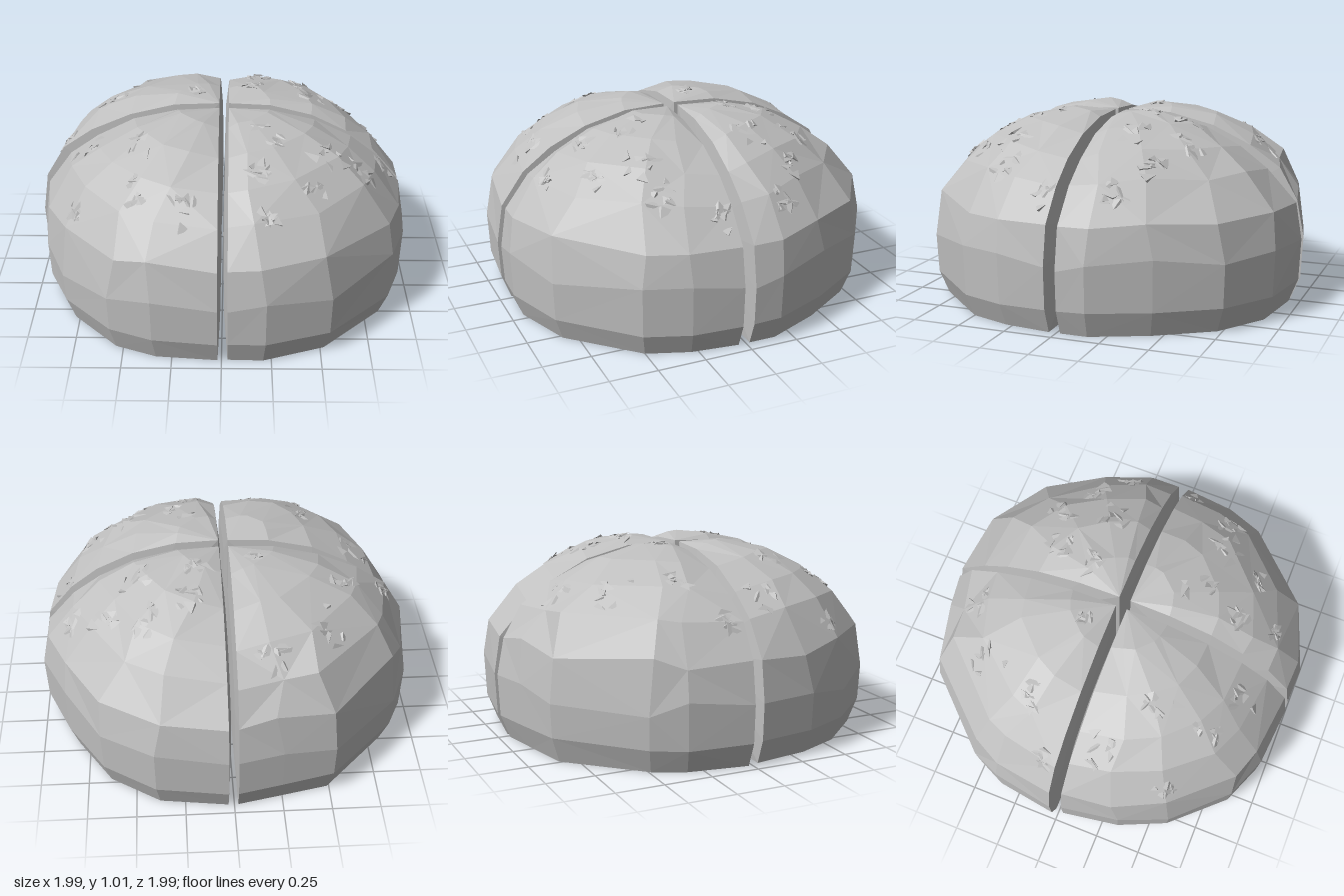
import * as THREE from 'three';
import { mergeGeometries } from 'three/addons/utils/BufferGeometryUtils.js';

// Plan outline [x, z] of each quarter; the first and last points lie on the two cuts.
const quarters = [
  { name: 'frontLeftQuarter', shoulder: 0.96,
    plan: [[0.99, 0.04], [0.96, 0.3], [0.88, 0.53], [0.55, 0.87], [0.22, 0.99], [0.03, 0.985]] },
  { name: 'frontRightQuarter', shoulder: 0.97,
    plan: [[-0.02, 0.99], [-0.35, 0.96], [-0.57, 0.87], [-0.82, 0.6], [-0.93, 0.35], [-0.98, 0.04]] },
  { name: 'backRightQuarter', shoulder: 1.0,
    plan: [[-1, -0.02], [-0.95, -0.35], [-0.87, -0.52], [-0.52, -0.89], [-0.25, -0.95], [-0.02, -1]] },
  { name: 'backLeftQuarter', shoulder: 0.94,
    plan: [[0.03, -1], [0.4, -0.95], [0.67, -0.77], [0.86, -0.47], [0.99, -0.17], [0.99, -0.02]] },
];

// Crust profile: [radius factor, height, drop of the height towards the cuts, height variation]
const profile = [
  [0.94, 0.005, 0, 0], [0.99, 0.13, 0, 0.02], [1, 0.34, 0, 0.12], [0.965, 0.56, 0.02, 0.07],
  [0.86, 0.745, 0.035, 0.03], [0.7, 0.865, 0.045, 0.02], [0.49, 0.96, 0.045, 0.015], [0.24, 1.005, 0.035, 0.01],
];
const topY = 0.98;

// Centres [x, z, spread] of the clusters of flaked crust
const flakeClusters = [
  [-0.5, -0.54, 0.1], [-0.2, -0.7, 0.09], [-0.6, -0.25, 0.07], [-0.85, -0.1, 0.05], [-0.15, -0.14, 0.03],
  [0.4, -0.5, 0.09], [0.45, -0.25, 0.1], [0.15, -0.24, 0.06], [0.2, -0.42, 0.07], [0.8, -0.27, 0.07], [0.63, -0.38, 0.07],
  [-0.7, 0.15, 0.09], [-0.42, 0.38, 0.1], [-0.75, 0.53, 0.05], [-0.43, 0.65, 0.08], [-0.2, 0.75, 0.07],
  [0.23, 0.35, 0.09], [0.19, 0.58, 0.05], [0.24, 0.8, 0.06], [0.46, 0.6, 0.06], [0.52, 0.4, 0.1], [0.72, 0.35, 0.08], [0.86, 0.1, 0.05],
];

function seeded(seed) {
  return () => {
    seed = (seed * 16807) % 2147483647;
    return seed / 2147483647;
  };
}

// One closed wedge of the loaf: crust, base and two bulging cut faces
function quarterGeometry({ plan, shoulder }, rand) {
  const n = plan.length - 1;
  const onX = Math.abs(plan[0][0]) > Math.abs(plan[0][1]); // first cut runs along x
  const corner = onX ? [plan[n][0], plan[0][1]] : [plan[0][0], plan[n][1]];
  const wobble = (amount) => (rand() - 0.5) * amount;

  const rings = profile.map(([r, y, drop, vary], j) => plan.map(([x, z], i) => {
    const fromCut = Math.min(i, n - i);
    let k = r;
    if (j > 3) k *= shoulder;
    if (j > 2) k += wobble(0.012);
    const h = y - drop * [1, 0.3, 0][fromCut] + wobble(fromCut ? vary : vary * 0.3);
    const p = new THREE.Vector3(corner[0] + (x - corner[0]) * k, h, corner[1] + (z - corner[1]) * k);
    // Slide inner points along the crust so the facets become irregular
    if (fromCut && j > 2) {
      const slide = wobble(0.1) * r;
      p.x -= slide * z;
      p.z += slide * x;
    }
    return p;
  }));
  const apex = new THREE.Vector3(corner[0], topY, corner[1]);
  const foot = new THREE.Vector3(corner[0], 0.01, corner[1]);

  const pos = [];
  const tri = (...corners) => corners.forEach((v) => pos.push(v.x, v.y, v.z));

  // Crust, with alternating diagonals
  for (let j = 0; j < rings.length - 1; j++) {
    for (let i = 0; i < n; i++) {
      const a = rings[j][i], b = rings[j][i + 1], c = rings[j + 1][i], d = rings[j + 1][i + 1];
      if ((i + j) % 2) { tri(a, c, b); tri(b, c, d); }
      else { tri(a, c, d); tri(a, d, b); }
    }
  }
  // Crown and base
  const last = rings[rings.length - 1];
  for (let i = 0; i < n; i++) {
    tri(last[i], apex, last[i + 1]);
    tri(foot, rings[0][i], rings[0][i + 1]);
  }
  // Cut faces: an inset loop that nearly closes the gap, fanned around a middle point
  [0, n].forEach((i) => {
    const rim = [foot, ...rings.map((ring) => ring[i]), apex];
    const axis = Math.abs(plan[i][0]) > Math.abs(plan[i][1]) ? 'z' : 'x';
    const middle = new THREE.Vector3(plan[i][0] * 0.5, 0.48, plan[i][1] * 0.5);
    middle[axis] = foot[axis] * 0.15;
    const inset = rim.map((p) => {
      const q = p.clone().lerp(middle, 0.35);
      q[axis] = foot[axis] * 0.4;
      return q;
    });
    rim.forEach((p, k) => {
      const next = (k + 1) % rim.length;
      let a = p, b = rim[next], c = inset[k], d = inset[next];
      if (i === 0) [a, b, c, d] = [b, a, d, c];
      tri(a, b, d);
      tri(a, d, c);
      tri(c, d, middle);
    });
  });

  const geometry = new THREE.BufferGeometry();
  geometry.setAttribute('position', new THREE.Float32BufferAttribute(pos, 3));
  geometry.computeVertexNormals();
  return geometry;
}

// Thin shards lying on the crust around each cluster centre
function flakeGeometry(body, clusters, rand) {
  const ray = new THREE.Raycaster();
  const down = new THREE.Vector3(0, -1, 0);
  const up = new THREE.Vector3(0, 1, 0);
  const flakes = [];
  clusters.forEach(([x, z, spread]) => {
    for (let k = 0; k < 8; k++) {
      const angle = rand() * Math.PI * 2, reach = Math.sqrt(rand()) * spread;
      ray.set(new THREE.Vector3(x + Math.cos(angle) * reach, 2, z + Math.sin(angle) * reach), down);
      const hit = ray.intersectObject(body)[0];
      if (!hit || hit.point.y < 0.5) continue;
      const shard = new THREE.TetrahedronGeometry(1);
      shard.rotateX(rand() * 3).rotateY(rand() * 6);
      shard.scale(0.02 + rand() * 0.04, 0.008 + rand() * 0.01, 0.02 + rand() * 0.025);
      shard.rotateY(rand() * 6);
      shard.applyQuaternion(new THREE.Quaternion().setFromUnitVectors(up, hit.face.normal));
      shard.translate(hit.point.x, hit.point.y, hit.point.z);
      flakes.push(shard);
    }
  });
  const merged = mergeGeometries(flakes);
  merged.computeVertexNormals();
  return merged;
}

export function createModel() {
  const rand = seeded(4711);
  const crust = new THREE.MeshStandardMaterial({ color: 0xc0c0c0, flatShading: true });
  crust.name = 'crust';

  const model = new THREE.Group();
  model.name = 'quarteredLoaf';
  quarters.forEach((quarter) => {
    const body = new THREE.Mesh(quarterGeometry(quarter, rand), crust);
    body.name = quarter.name;
    const [mx, mz] = quarter.plan[2]; // a point well inside this quarter
    const own = flakeClusters.filter(([x, z]) => x * mx > 0 && z * mz > 0);
    const flakes = new THREE.Mesh(flakeGeometry(body, own, rand), crust);
    flakes.name = quarter.name + 'Flakes';
    model.add(body, flakes);
  });
  return model;
}
